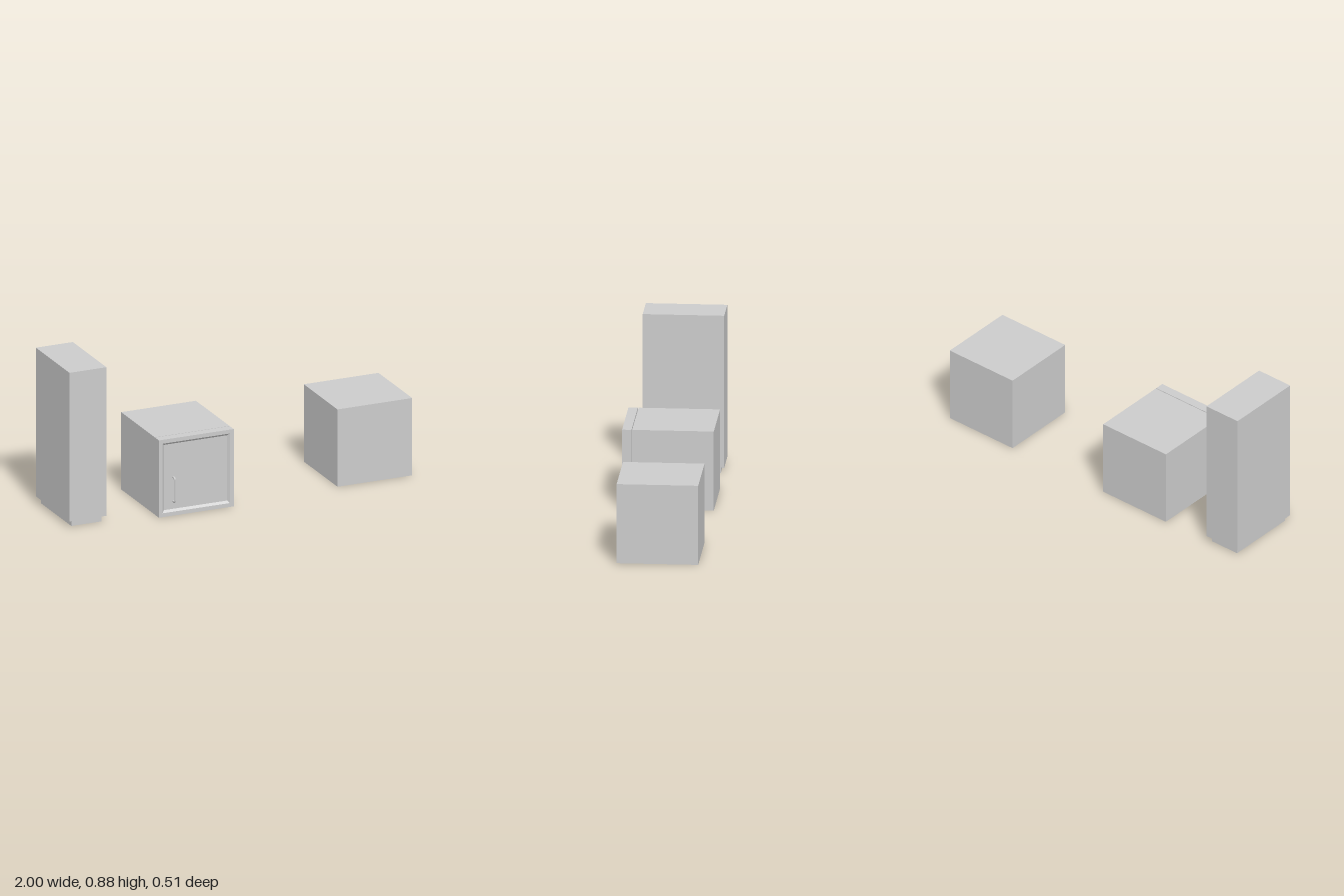
import * as THREE from 'three';

const material = new THREE.MeshStandardMaterial({ color: 0xcccccc, flatShading: true });
const smooth = new THREE.MeshStandardMaterial({ color: 0xcccccc });

// Box given by its minimum and maximum corners
function box(name, [x0, y0, z0], [x1, y1, z1]) {
  const mesh = new THREE.Mesh(new THREE.BoxGeometry(x1 - x0, y1 - y0, z1 - z0), material);
  mesh.position.set((x0 + x1) / 2, (y0 + y1) / 2, (z0 + z1) / 2);
  mesh.name = name;
  return mesh;
}

// Square door: a four-sided lathe whose profile is [half width, z], with a bevelled recess
function door(back, front, half) {
  const panel = front - 0.012;
  const profile = [
    [0, back], [half, back], [half, front],
    [half - 0.022, front], [half - 0.034, panel], [0, panel],
  ].map(([h, z]) => new THREE.Vector2(h * Math.SQRT2, z));
  const geometry = new THREE.LatheGeometry(profile, 4, Math.PI / 4).rotateX(Math.PI / 2);
  const mesh = new THREE.Mesh(geometry, material);
  mesh.name = 'door';
  return mesh;
}

// Bow handle: a tube with two rounded corners
function handle(x, low, high, root, tip) {
  const r = 0.01;
  const p = (y, z) => new THREE.Vector3(x, y, z);
  const path = new THREE.CurvePath();
  path.add(new THREE.LineCurve3(p(low, root), p(low, tip - r)));
  path.add(new THREE.QuadraticBezierCurve3(p(low, tip - r), p(low, tip), p(low + r, tip)));
  path.add(new THREE.LineCurve3(p(low + r, tip), p(high - r, tip)));
  path.add(new THREE.QuadraticBezierCurve3(p(high - r, tip), p(high, tip), p(high, tip - r)));
  path.add(new THREE.LineCurve3(p(high, tip - r), p(high, root)));
  const mesh = new THREE.Mesh(new THREE.TubeGeometry(path, 80, 0.006, 10), smooth);
  mesh.name = 'handle';
  return mesh;
}

export function createModel() {
  const model = new THREE.Group();
  model.name = 'cabinets';
  const back = -0.252, front = 0.183, height = 0.437;

  // Tall narrow cabinet on an inset plinth
  const tall = new THREE.Group();
  tall.name = 'tallCabinet';
  tall.add(
    box('tallBody', [-1, 0.035, back], [-0.784, 0.875, front]),
    box('plinth', [-0.98, 0, back + 0.02], [-0.804, 0.035, front - 0.02]),
  );

  // Cube cabinet with a door and handle
  const middle = new THREE.Group();
  middle.name = 'doorCabinet';
  const leaf = door(0.187, 0.237, height / 2);
  leaf.position.set(-0.284, height / 2, 0);
  middle.add(
    box('doorCabinetBody', [-0.502, 0, back], [-0.066, height, front]),
    leaf,
    handle(-0.414, 0.078, 0.214, 0.222, 0.248),
  );

  // Plain cube cabinet
  model.add(tall, middle, box('plainCabinet', [0.564, 0, back], [1, height, front]));
  return model;
}
